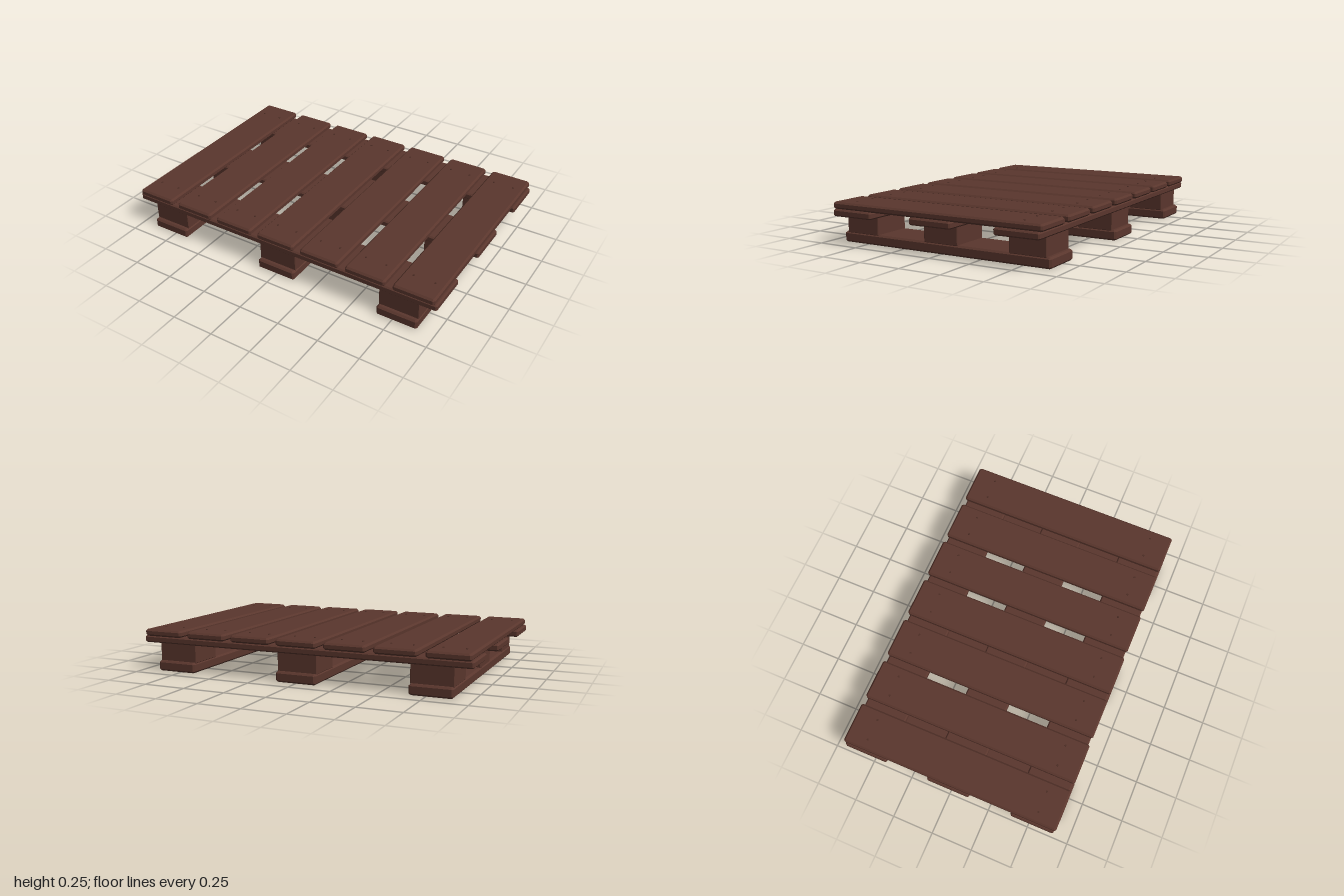
import * as THREE from 'three';

// Board with chamfered edges and corners; w, h, d are full sizes, y is its underside
function board(name, material, w, h, d, x, y, z, c) {
  const a = w / 2, b = d / 2;
  const outline = new THREE.Shape([
    [a - c, -b], [a, -b + c], [a, b - c], [a - c, b],
    [-a + c, b], [-a, b - c], [-a, -b + c], [-a + c, -b],
  ].map(([px, py]) => new THREE.Vector2(px, py)));
  const geometry = new THREE.ExtrudeGeometry(outline, {
    depth: h - 2 * c, bevelEnabled: true, bevelSegments: 1,
    bevelThickness: c, bevelSize: c, bevelOffset: -c,
  });
  geometry.rotateX(-Math.PI / 2).translate(0, c, 0);
  const mesh = new THREE.Mesh(geometry, material);
  mesh.name = name;
  mesh.position.set(x, y, z);
  return mesh;
}

export function createModel() {
  const wood = new THREE.MeshStandardMaterial({ color: 0x5a362d });
  wood.name = 'brown wood';
  const nailBrown = new THREE.MeshStandardMaterial({ color: 0x4c2d25 });
  nailBrown.name = 'dark nail brown';

  const pallet = new THREE.Group();
  pallet.name = 'pallet';

  // Three runners on the ground, each carrying three blocks
  for (const x of [-0.777, 0, 0.777]) {
    pallet.add(board('runner', wood, 0.244, 0.06, 1.33, x, 0, 0, 0.01));
    for (const z of [-0.531, 0, 0.531]) {
      pallet.add(board('block', wood, 0.24, 0.112, 0.216, x, 0.056, z, 0.003));
    }
  }

  // Three cross boards over the blocks
  for (const z of [-0.523, 0, 0.523]) {
    pallet.add(board('crossBoard', wood, 2, 0.04, 0.264, 0, 0.163, z, 0.008));
  }

  // Seven deck boards, nailed near both ends
  const nailGeometry = new THREE.CylinderGeometry(0.006, 0.007, 0.008, 8);
  for (let i = -3; i <= 3; i++) {
    const x = i * 0.289;
    pallet.add(board('deckBoard', wood, 0.244, 0.04, 1.33, x, 0.202, 0, 0.01));
    for (const z of [-0.535, 0.535]) {
      for (const side of [-1, 1]) {
        const nail = new THREE.Mesh(nailGeometry, nailBrown);
        nail.name = 'nail';
        nail.position.set(x + side * 0.063, 0.241, z);
        pallet.add(nail);
      }
    }
  }
  return pallet;
}
